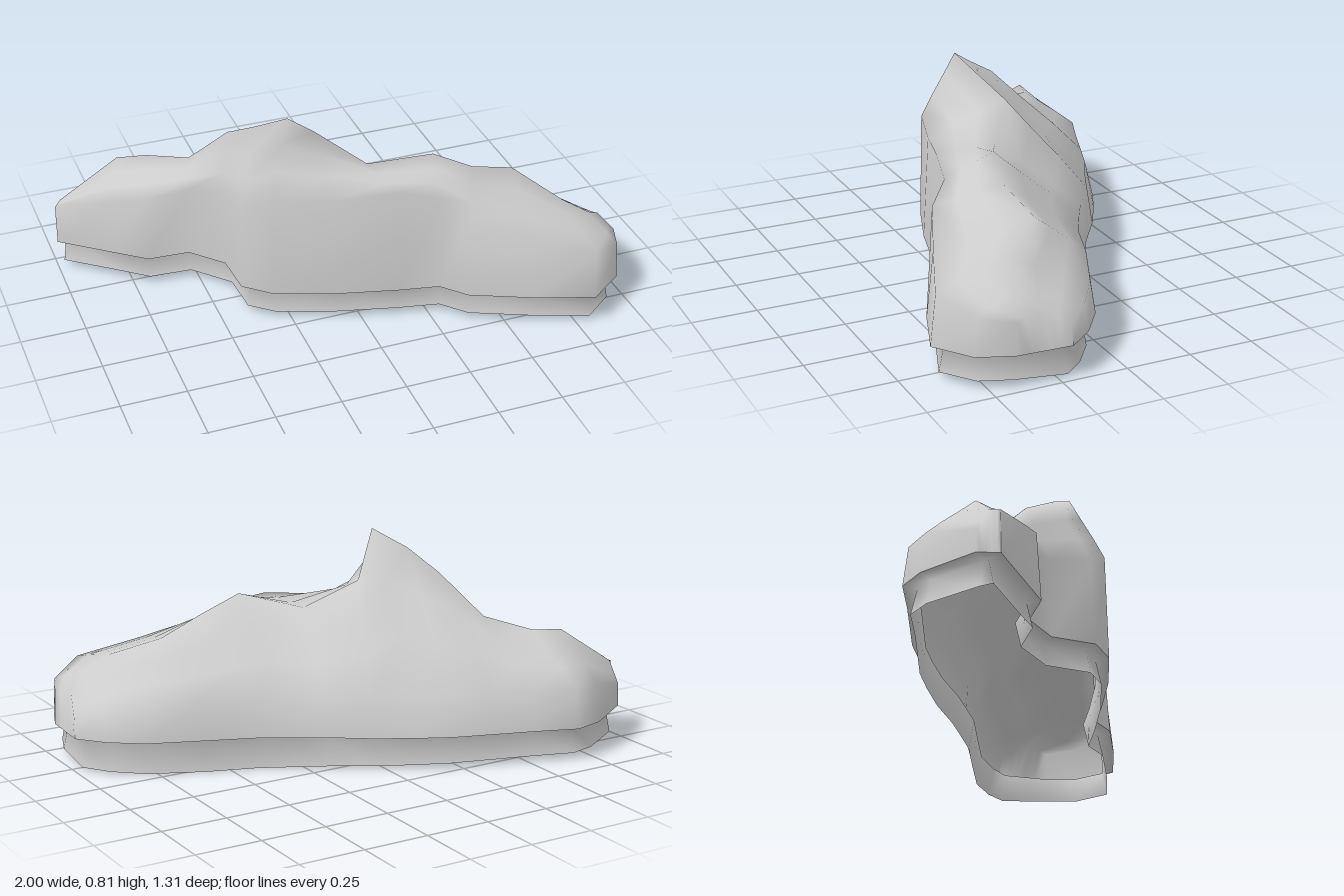
import * as THREE from 'three';

const RIM = 0.13;

// Stations along the rock: back rim x,z | front rim x,z | crest x,y,z | front shoulder height
const stations = [
  [-0.98, -0.50, -1.00, -0.42, -0.97, 0.30, -0.45, 0.29],
  [-0.78, -0.63, -0.80, -0.26, -0.74, 0.455, -0.43, 0.36],
  [-0.66, -0.66, -0.70, -0.18, -0.63, 0.46, -0.40, 0.39],
  [-0.50, -0.60, -0.54, -0.17, -0.50, 0.50, -0.26, 0.41],
  [-0.35, -0.55, -0.43, -0.05, -0.38, 0.66, -0.13, 0.44],
  [-0.20, -0.50, -0.42, 0.12, -0.32, 0.74, 0.00, 0.47],
  [-0.08, -0.44, -0.32, 0.21, -0.22, 0.81, 0.10, 0.54],
  [0.06, -0.36, -0.10, 0.29, -0.07, 0.65, -0.04, 0.53],
  [0.20, -0.26, 0.13, 0.35, 0.10, 0.54, 0.08, 0.55],
  [0.30, -0.20, 0.28, 0.38, 0.32, 0.60, 0.19, 0.51],
  [0.42, -0.13, 0.36, 0.47, 0.47, 0.53, 0.22, 0.45],
  [0.60, -0.06, 0.58, 0.57, 0.65, 0.47, 0.19, 0.38],
  [0.80, 0.02, 0.80, 0.65, 0.79, 0.39, 0.35, 0.32],
  [0.92, 0.11, 0.94, 0.55, 0.89, 0.33, 0.38, 0.27],
  [1.00, 0.21, 0.99, 0.42, 0.96, 0.28, 0.33, 0.25],
].map(([bx, bz, fx, fz, cx, cy, cz, shoulder]) => ({
  back: new THREE.Vector3(bx, RIM, bz),
  front: new THREE.Vector3(fx, RIM, fz),
  crest: new THREE.Vector3(cx, cy, cz),
  shoulder,
}));

// Smooth surface through rows of points
function loft(name, rows, material, closed = false) {
  const cols = rows[0].length;
  const index = [];
  for (let i = 0; i < rows.length - 1; i++) {
    for (let j = 0; j < (closed ? cols : cols - 1); j++) {
      const k = (j + 1) % cols;
      const a = i * cols + j, b = i * cols + k;
      index.push(a, b, a + cols, b, b + cols, a + cols);
    }
  }
  const geometry = new THREE.BufferGeometry().setFromPoints(rows.flat());
  geometry.setIndex(index);
  geometry.computeVertexNormals();
  const mesh = new THREE.Mesh(geometry, material);
  mesh.name = name;
  return mesh;
}

// Half a cross-section: rim, steep shoulder, slope towards the crest
function flank(rim, crest, shoulder) {
  const at = (t, s) => rim.clone().lerp(crest, t).setY(THREE.MathUtils.lerp(shoulder, crest.y, s));
  return [rim, at(0.07, 0), at(0.38, 0.35), at(0.7, 0.68)];
}

// Outline moved inwards along its own normals
function insetRing(ring, distance, heightAt) {
  const n = ring.length;
  return ring.map((p, i) => {
    const t = ring[(i + 1) % n].clone().sub(ring[(i + n - 1) % n]).setY(0).normalize();
    return new THREE.Vector3(p.x - t.z * distance, heightAt(p, i), p.z + t.x * distance);
  });
}

export function createModel() {
  const group = new THREE.Group();
  group.name = 'rockOutcrop';
  const material = new THREE.MeshStandardMaterial({ color: 0xcccccc, side: THREE.DoubleSide });

  // Upper rock with its ridge and peaks, ends closed down to the rim
  const rows = stations.map(({ back, front, crest, shoulder }) => [
    ...flank(back, crest, Math.min(0.28, RIM + 0.5 * (crest.y - RIM))),
    crest,
    ...flank(front, crest, shoulder).reverse(),
  ]);
  const endRow = ({ back, front }) =>
    rows[0].map((_, j) => back.clone().lerp(front, j / (rows[0].length - 1)));
  const firstEnd = endRow(stations[0]);
  const lastEnd = endRow(stations[stations.length - 1]);
  group.add(loft('upperRock', [firstEnd, ...rows, lastEnd], material));

  // Overhanging rim and the flared, open foot beneath it, lowest at the middle of the back
  const rim = [...stations.map((s) => s.back), ...stations.map((s) => s.front).reverse()];
  const neck = insetRing(rim, 0.05, () => 0.12);
  const foot = insetRing(rim, 0.03, (p, i) =>
    i < stations.length ? 0.045 * Math.abs(p.z + 0.06) : 0.028);
  group.add(loft('foot', [rim, neck, foot], material, true));

  return group;
}
